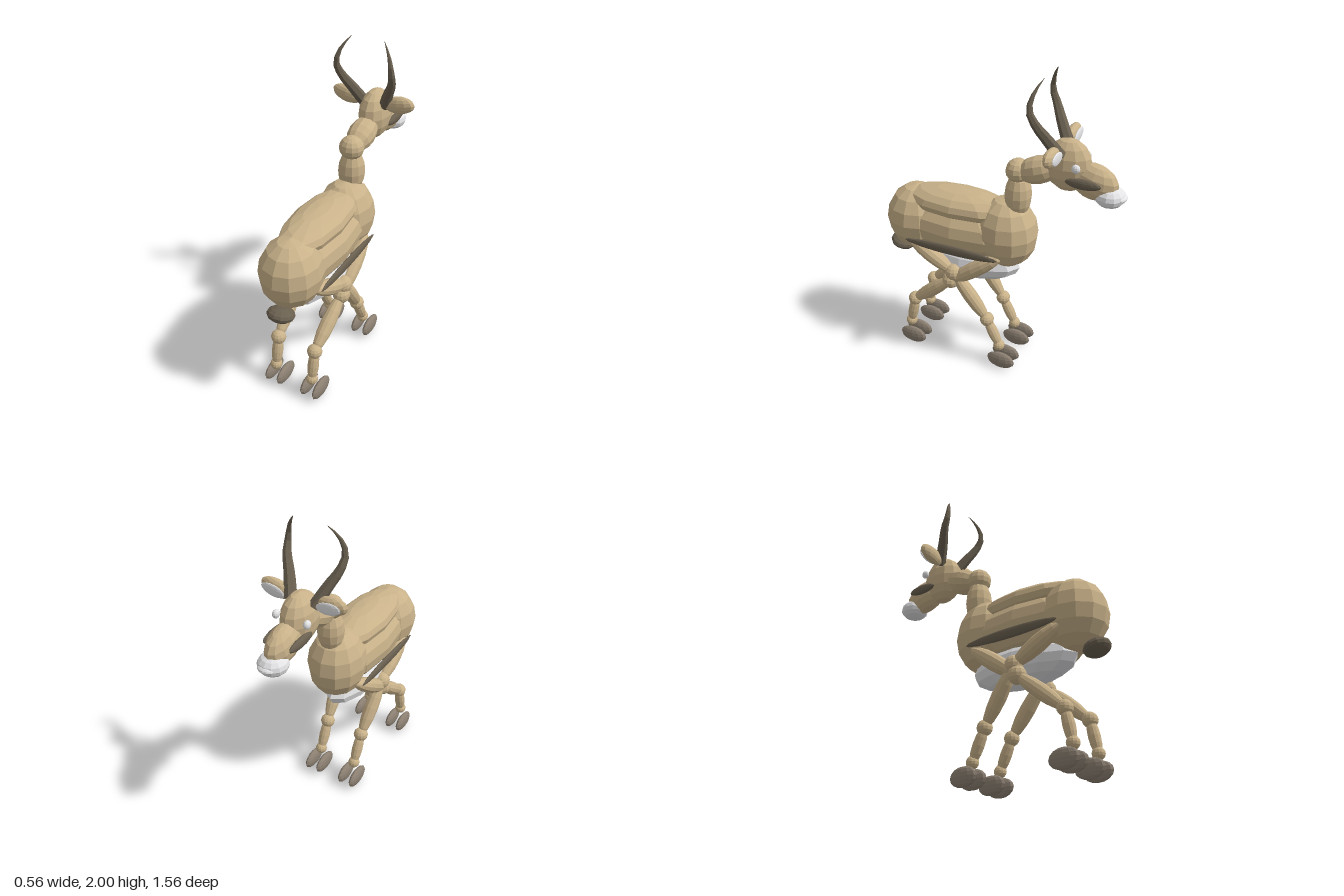
import * as THREE from 'three';

const mat = (name, color) => {
  const m = new THREE.MeshStandardMaterial({ color, flatShading: true });
  m.name = name;
  return m;
};

export function createModel() {
  const model = new THREE.Group();
  model.name = 'antelope';
  const tan = mat('tan coat', 0xc9b28a);
  const dark = mat('dark brown', 0x6a6050);
  const hoofGrey = mat('hoof grey', 0x8c8072);
  const white = mat('white', 0xe4e4e6);

  const V = (p) => new THREE.Vector3(...p);
  const ball = new THREE.SphereGeometry(1, 12, 8);

  // Ellipsoid with centre, radii and optional rotation
  function blob(name, material, c, r, rot = [0, 0, 0]) {
    const m = new THREE.Mesh(ball, material);
    m.name = name;
    m.position.set(...c);
    m.scale.set(...r);
    m.rotation.set(...rot);
    model.add(m);
    return m;
  }

  // Spindle-shaped limb between two points
  function limb(name, a, b, radius, overlap = 0.01) {
    const d = V(b).sub(V(a));
    const mid = V(a).add(V(b)).multiplyScalar(0.5);
    const m = blob(name, tan, mid.toArray(), [radius, d.length() / 2 + overlap, radius]);
    m.quaternion.setFromUnitVectors(new THREE.Vector3(0, 1, 0), d.normalize());
  }

  // Trunk
  blob('rump', tan, [0, 0.922, 0.575], [0.19, 0.223, 0.2]);
  blob('barrel', tan, [0, 0.92, 0.26], [0.187, 0.18, 0.45]);
  blob('backRidge', tan, [0, 1.08, 0.27], [0.16, 0.095, 0.39]);
  blob('chest', tan, [0, 0.95, -0.05], [0.18, 0.235, 0.2]);
  blob('belly', white, [0, 0.7, 0.22], [0.145, 0.13, 0.36]);
  blob('tail', dark, [0, 0.695, 0.702], [0.085, 0.045, 0.082], [-0.3, 0, 0]);

  // Neck and head
  limb('lowerNeck', [0, 1.08, -0.12], [0, 1.36, -0.125], 0.083);
  blob('neckJoint', tan, [0, 1.38, -0.12], [0.078, 0.075, 0.075]);
  limb('upperNeck', [0, 1.37, -0.13], [0, 1.455, -0.37], 0.085);
  blob('head', tan, [0, 1.48, -0.425], [0.095, 0.16, 0.143]);
  blob('muzzle', tan, [0, 1.405, -0.58], [0.078, 0.108, 0.15], [-0.25, 0, 0]);
  blob('mouth', white, [0, 1.332, -0.68], [0.088, 0.064, 0.09]);
  blob('noseTip', white, [0, 1.335, -0.74], [0.055, 0.022, 0.04]);

  // Horn: tube tapered towards its tip
  function horn(s) {
    const pts = [
      [0.075, 1.56, -0.4], [0.125, 1.67, -0.335], [0.17, 1.76, -0.285],
      [0.18, 1.84, -0.252], [0.155, 1.93, -0.268], [0.105, 2.0, -0.305],
    ].map(([x, y, z]) => new THREE.Vector3(x * s, y, z));
    const curve = new THREE.CatmullRomCurve3(pts);
    const rings = 10, sides = 7;
    const geo = new THREE.TubeGeometry(curve, rings, 0.037, sides);
    const pos = geo.attributes.position;
    const v = new THREE.Vector3();
    for (let i = 0; i < pos.count; i++) {
      const t = Math.floor(i / (sides + 1)) / rings;
      const c = curve.getPointAt(t);
      v.fromBufferAttribute(pos, i).sub(c).multiplyScalar(1 - 0.97 * t ** 1.5).add(c);
      pos.setXYZ(i, v.x, v.y, v.z);
    }
    geo.computeVertexNormals();
    const m = new THREE.Mesh(geo, dark);
    m.name = 'horn';
    model.add(m);
  }

  // Joints of each leg as [y, z]: hip, upper joint, knee, fetlock, hoof
  const legs = {
    foreleg: [[0.83, -0.06], [0.59, 0.272], [0.345, 0.56], [0.15, 0.6], [0.065, 0.568]],
    hindleg: [[0.83, 0.565], [0.655, 0.25], [0.335, 0.03], [0.15, -0.055], [0.065, -0.085]],
  };

  for (const s of [1, -1]) {
    horn(s);
    blob('ear', tan, [0.175 * s, 1.588, -0.385], [0.104, 0.055, 0.036], [0, 0, 0.16 * s]);
    blob('innerEar', white, [0.177 * s, 1.588, -0.42], [0.078, 0.037, 0.01], [0, 0, 0.16 * s]);
    blob('eye', white, [0.1 * s, 1.51, -0.502], [0.02, 0.026, 0.026]);
    blob('cheekPatch', dark, [0.085 * s, 1.417, -0.542], [0.02, 0.032, 0.106]);
    blob('sideStripe', dark, [0.19 * s, 0.84, 0.25], [0.015, 0.033, 0.32]);

    for (const [name, j] of Object.entries(legs)) {
      const xs = [0.14, 0.152, 0.13, 0.13];
      const p = xs.map((x, i) => [x * s, ...j[i]]);
      limb(name + 'Thigh', p[0], p[1], 0.052);
      blob(name + 'UpperJoint', tan, p[1], [0.054, 0.056, 0.056]);
      limb(name + 'Shank', p[1], p[2], 0.046);
      blob(name + 'Knee', tan, p[2], [0.048, 0.046, 0.046]);
      limb(name + 'Cannon', p[2], p[3], 0.035, 0.02);
      blob(name + 'Fetlock', tan, p[3], [0.038, 0.038, 0.038]);
      // Cloven hoof: two toes
      for (const x of [0.087, 0.172]) {
        blob(name + 'Hoof', hoofGrey, [x * s, ...j[4]], [0.028, 0.06, 0.096]);
      }
    }
  }
  return model;
}
